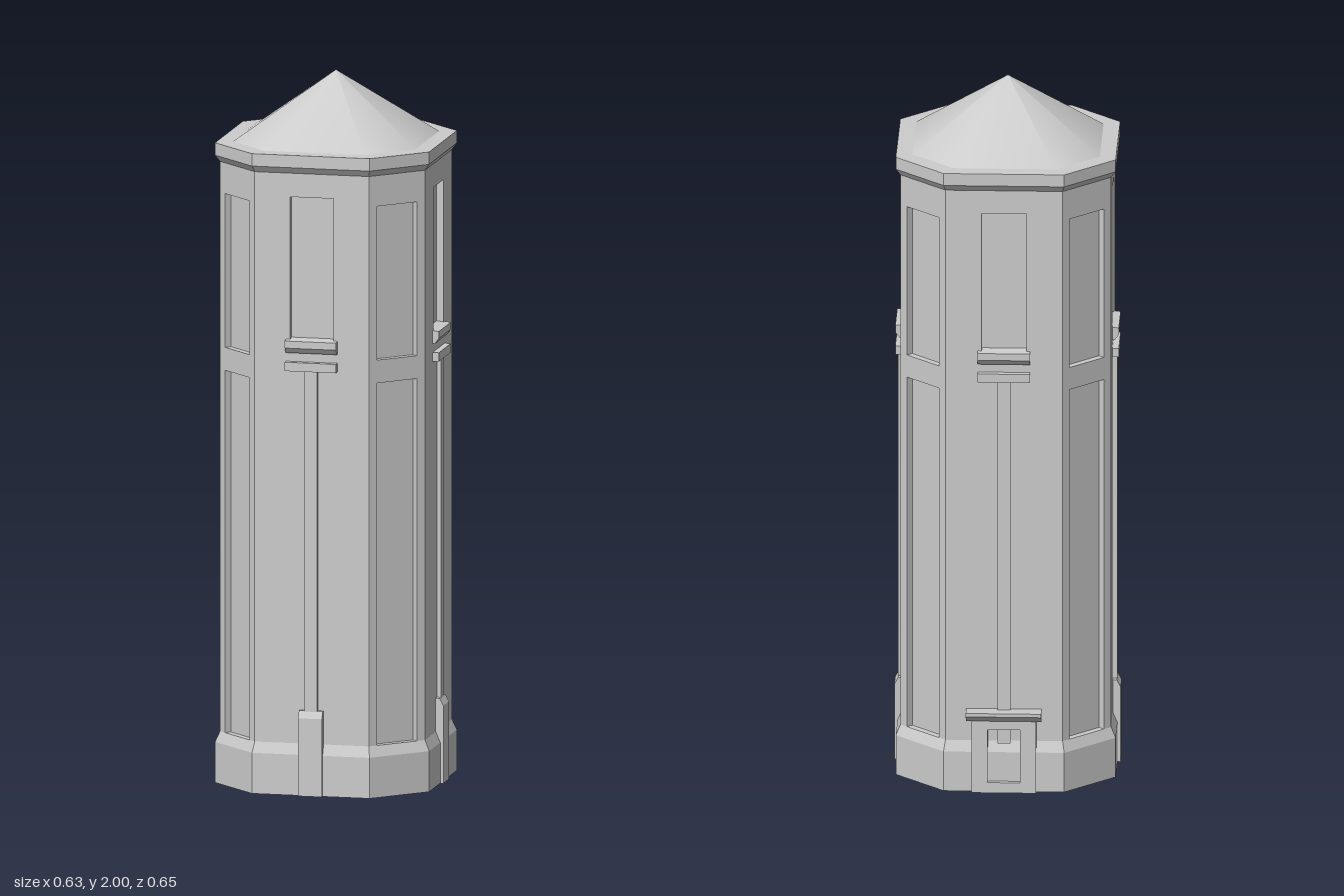
import * as THREE from 'three';
import { toCreasedNormals } from 'three/addons/utils/BufferGeometryUtils.js';

const stone = new THREE.MeshStandardMaterial({ color: 0xcccccc });
stone.name = 'pale stone';

// Irregular octagon: r = distance to the wide faces, h = half width of those faces
const octagon = (r, h) => [[h, r], [r, h], [r, -h], [h, -r], [-h, -r], [-r, -h], [-r, h], [-h, r]];

// Skin stacked octagon rings [r, h, y], listed in outward-facing order
function loft(rings, crease) {
  const pos = [];
  for (let k = 0; k < rings.length - 1; k++) {
    const [r0, h0, y0] = rings[k], [r1, h1, y1] = rings[k + 1];
    const lo = octagon(r0, h0), hi = octagon(r1, h1);
    for (let i = 0; i < 8; i++) {
      const j = (i + 1) % 8;
      const a = [lo[i][0], y0, lo[i][1]], b = [lo[j][0], y0, lo[j][1]];
      const c = [hi[j][0], y1, hi[j][1]], d = [hi[i][0], y1, hi[i][1]];
      if (r0 > 0) pos.push(...a, ...b, ...c);
      if (r1 > 0) pos.push(...a, ...c, ...d);
    }
  }
  const g = new THREE.BufferGeometry();
  g.setAttribute('position', new THREE.Float32BufferAttribute(pos, 3));
  return toCreasedNormals(g, crease);
}

function add(parent, name, geometry) {
  const m = new THREE.Mesh(geometry, stone);
  m.name = name;
  parent.add(m);
  return m;
}

// Box from its limits, x centred
function block(parent, name, halfW, y0, y1, z0, z1) {
  add(parent, name, new THREE.BoxGeometry(halfW * 2, y1 - y0, z1 - z0))
    .position.set(0, (y0 + y1) / 2, (z0 + z1) / 2);
}

function rect(path, halfW, y0, y1) {
  path.moveTo(-halfW, y0);
  path.lineTo(halfW, y0);
  path.lineTo(halfW, y1);
  path.lineTo(-halfW, y1);
  path.closePath();
  return path;
}

// Wall slab with rectangular openings [halfW, y0, y1]; its outer face lies at z = r
function wall(parent, name, halfW, y0, y1, r, openings) {
  const s = rect(new THREE.Shape(), halfW, y0, y1);
  for (const o of openings) s.holes.push(rect(new THREE.Path(), ...o));
  const g = new THREE.ExtrudeGeometry(s, { depth: DEPTH, bevelEnabled: false });
  g.translate(0, 0, r - DEPTH);
  add(parent, name, g);
}

// Profile in (z, y) extruded along x
function moulding(parent, name, halfW, points) {
  const s = new THREE.Shape(points.map(([z, y]) => new THREE.Vector2(-z, y)));
  const g = new THREE.ExtrudeGeometry(s, { depth: halfW * 2, bevelEnabled: false });
  g.translate(0, 0, -halfW);
  g.rotateY(Math.PI / 2);
  add(parent, name, g);
}

const DEPTH = 0.02;
const R = 0.293, H = 0.163;
const DIAG_R = (R + H) / Math.SQRT2, DIAG_H = (R - H) / Math.SQRT2;

export function createModel() {
  const tower = new THREE.Group();
  tower.name = 'tower';
  tower.position.z = 0.01;

  // Inner core forms the backs of all recesses
  add(tower, 'core', loft([[R - DEPTH, 0.155, 0.1], [R - DEPTH, 0.155, 1.8]], 0.3));

  // Plinth with underside and sloped top
  add(tower, 'plinth', loft([[0, 0, 0], [0.306, 0.168, 0], [0.306, 0.168, 0.115],
    [R, H, 0.145], [0.25, 0.14, 0.145]], 0.3));

  // Cornice and pyramid roof
  add(tower, 'cornice', loft([[R - 0.01, H - 0.005, 1.755], [R, H, 1.757], [0.306, 0.168, 1.775],
    [0.306, 0.168, 1.81], [0.255, 0.14, 1.811]], 0.3));
  add(tower, 'roof', loft([[0.262, 0.144, 1.81], [0, 0, 2]], 0.75));

  for (let k = 0; k < 8; k++) {
    const side = new THREE.Group();
    side.rotation.y = k * Math.PI / 4;
    tower.add(side);

    if (k % 2) {
      // Narrow diagonal side with two sunken panels
      side.name = 'diagonalSide';
      wall(side, 'panelWall', DIAG_H, 0.14, 1.76, DIAG_R,
        [[0.065, 0.145, 1.17], [0.065, 1.235, 1.67]]);
      continue;
    }

    // Wide side with window, sill, ledge and pilaster
    side.name = 'wideSide';
    wall(side, 'windowWall', H, 0.14, 1.76, R, [[0.062, 1.285, 1.69]]);
    moulding(side, 'windowSill', 0.073,
      [[0.27, 1.25], [0.3, 1.25], [0.311, 1.265], [0.311, 1.285], [0.27, 1.29]]);
    block(side, 'ledge', 0.073, 1.2, 1.225, 0.27, 0.311);
    block(side, 'pilaster', 0.018, 0.14, 1.2, 0.27, 0.305);

    if (k === 4) {
      // Doorway on the back
      const s = rect(new THREE.Shape(), 0.09, 0, 0.22);
      s.holes.push(rect(new THREE.Path(), 0.045, 0.03, 0.185));
      const frame = new THREE.ExtrudeGeometry(s, { depth: 0.04, bevelEnabled: false });
      frame.translate(0, 0, 0.28);
      add(side, 'doorFrame', frame);
      moulding(side, 'doorLintel', 0.105,
        [[0.28, 0.21], [0.32, 0.21], [0.338, 0.228], [0.338, 0.238], [0.28, 0.238]]);
    } else {
      // Pilaster foot with sloped shoulder
      moulding(side, 'pilasterFoot', 0.034,
        [[0.27, 0], [0.315, 0], [0.315, 0.22], [0.304, 0.24], [0.27, 0.24]]);
    }
  }
  return tower;
}
